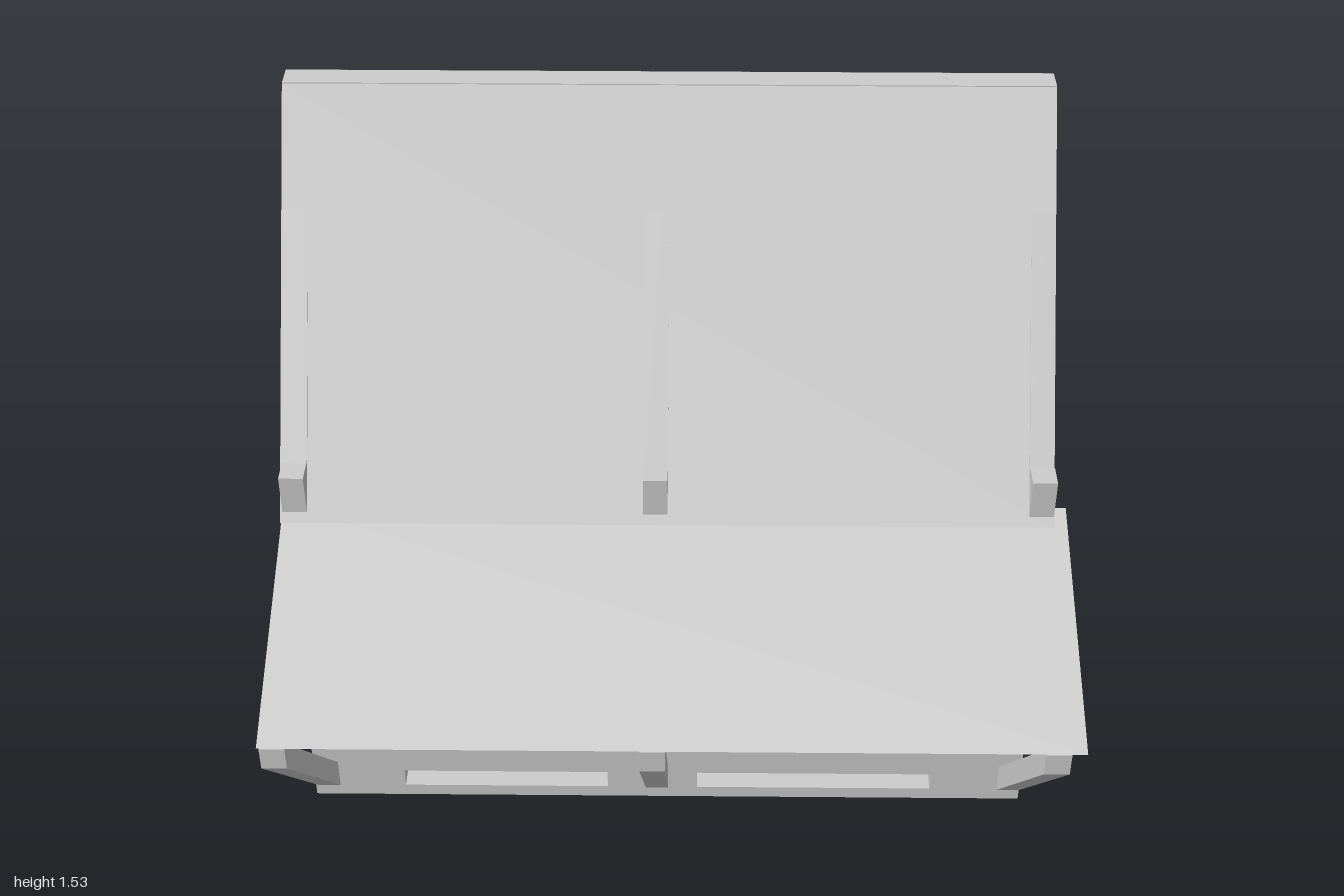
import * as THREE from 'three';

const timber = new THREE.MeshStandardMaterial({ color: 0xcccccc });
timber.name = 'pale grey';
timber.side = THREE.DoubleSide;

const X0 = -0.795, X1 = 0.78;          // ends of the building
const FRAMES = [-0.79, -0.055, 0.73];  // left edge of each cross frame
const T = 0.05;                        // timber thickness

export function createModel() {
  const model = new THREE.Group();
  model.name = 'openFrameHouse';

  const add = (parent, name, geometry) => {
    const mesh = new THREE.Mesh(geometry, timber);
    mesh.name = name;
    parent.add(mesh);
  };

  // box given by its minimum and maximum corners
  const box = (parent, name, x0, x1, y0, y1, z0, z1) => {
    const g = new THREE.BoxGeometry(x1 - x0, y1 - y0, z1 - z0);
    g.translate((x0 + x1) / 2, (y0 + y1) / 2, (z0 + z1) / 2);
    add(parent, name, g);
  };

  // timber cut from a (z, y) outline and extruded along x
  const beam = (parent, name, x, outline) => {
    const shape = new THREE.Shape(outline.map(([z, y]) => new THREE.Vector2(z, y)));
    const g = new THREE.ExtrudeGeometry(shape, { depth: T, bevelEnabled: false });
    g.rotateY(-Math.PI / 2);
    g.translate(x + T, 0, 0);
    add(parent, name, g);
  };

  // flat sheet between an upper and a lower (z, y) edge
  const sheet = (name, x0, x1, [za, ya], [zb, yb]) => {
    const g = new THREE.BufferGeometry();
    g.setAttribute('position', new THREE.Float32BufferAttribute(
      [x0, ya, za, x0, yb, zb, x1, yb, zb, x1, ya, za], 3));
    g.setIndex(zb > za ? [0, 1, 2, 0, 2, 3] : [0, 2, 1, 0, 3, 2]);
    g.computeVertexNormals();
    add(model, name, g);
  };

  // floor slab
  box(model, 'floor', X0, X1, 0, 0.03, -0.515, 0.54);

  // cross frames
  for (const x of FRAMES) {
    const frame = new THREE.Group();
    frame.name = 'crossFrame';
    model.add(frame);
    box(frame, 'kingPost', x, x + T, 0.95, 1.525, -0.023, 0.023);
    for (const s of [1, -1]) {
      const wall = s > 0 ? 0.54 : 0.515;   // outer face of the wall post
      const tip = s > 0 ? 1.0 : 0.95;      // outer end of the wing
      const side = (pts) => pts.map(([z, y]) => [s * z, y]);
      const zs = [s * wall, s * (wall - T)];
      box(frame, 'wallPost', x, x + T, 0.03, 0.91, Math.min(...zs), Math.max(...zs));
      beam(frame, 'roofRafter', x, side([
        [0, 1.53], [0.026, 1.53], [wall - 0.02, 0.86], [wall - T, 0.81], [0.02, 1.445], [0, 1.47]]));
      beam(frame, 'wingRafter', x, side([
        [0, 1.0], [0.026, 1.0], [tip, 0.61], [tip, 0.558], [tip - 0.046, 0.572], [0.026, 0.945], [0, 0.945]]));
      beam(frame, 'wingStrut', x, side([
        [tip, 0.558], [tip - 0.046, 0.575], [wall, 0.1], [wall, 0.027]]));
    }
  }

  // low walls with blocks and a slot between blocks
  const BLOCKS = [[X0, -0.593], [-0.14, 0.06], [0.58, X1]];
  for (const [zOut, zIn, zBlock] of [[0.54, 0.49, 0.34], [-0.515, -0.465, -0.31]]) {
    const wall = new THREE.Group();
    wall.name = 'lowWall';
    model.add(wall);
    for (const [a, b] of BLOCKS)
      box(wall, 'wallBlock', a, b, 0.03, 0.23, Math.min(zOut, zBlock), Math.max(zOut, zBlock));
    for (let i = 0; i < 2; i++)
      box(wall, 'wallPanel', BLOCKS[i][1], BLOCKS[i + 1][0], 0.075, 0.23,
        Math.min(zOut, zIn), Math.max(zOut, zIn));
  }

  // steep upper roof and ridge cap
  sheet('frontRoof', X0, X1, [0.029, 1.53], [0.553, 0.805]);
  sheet('backRoof', X0, X1, [-0.029, 1.53], [-0.553, 0.797]);
  box(model, 'ridgeCap', X0, X1, 1.524, 1.531, -0.027, 0.027);

  // shallow wing roofs
  sheet('frontWingRoof', -0.795, 0.81, [0.5, 0.814], [1.0, 0.612]);
  sheet('backWingRoof', -0.81, 0.78, [-0.52, 0.79], [-1.0, 0.58]);

  return model;
}
